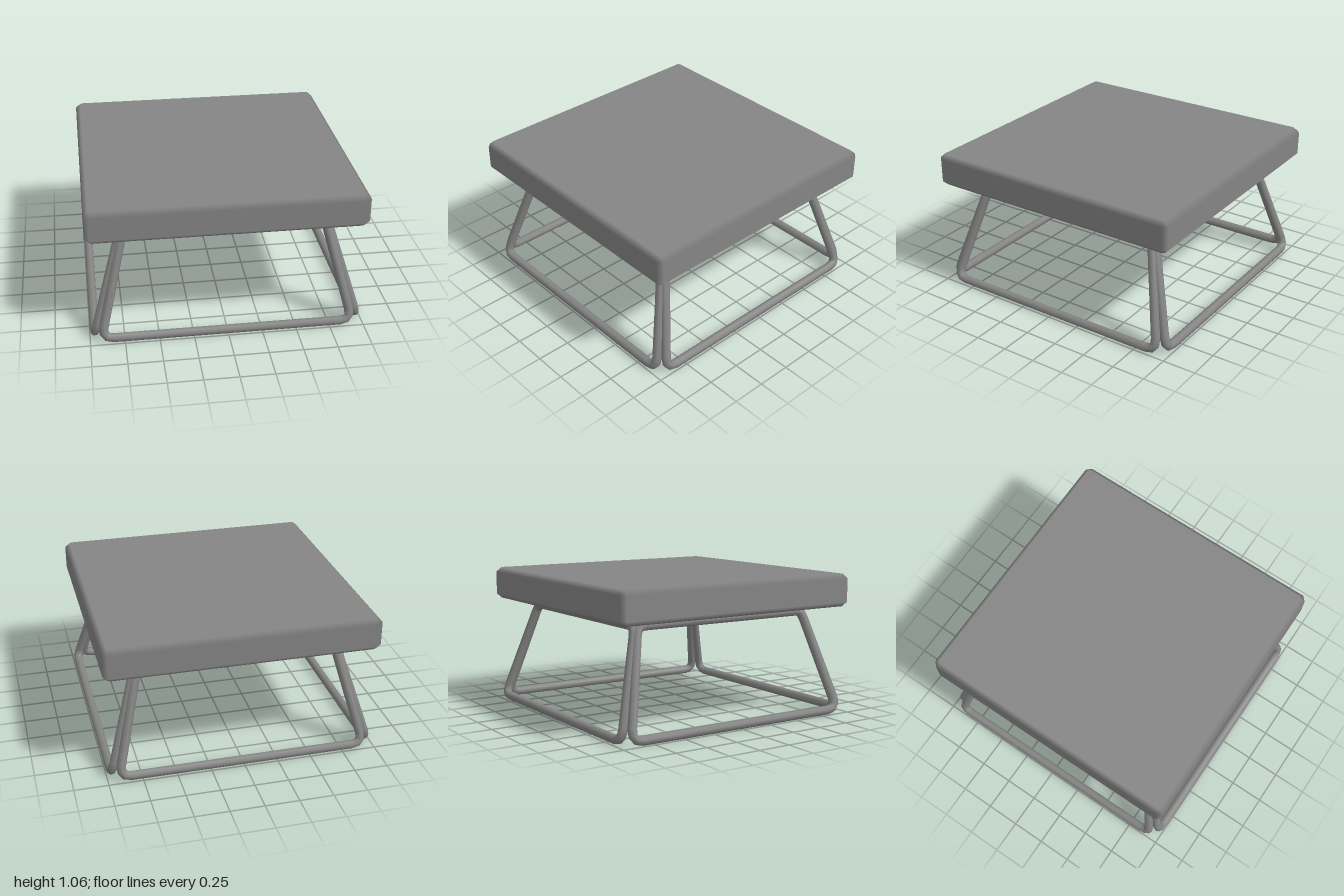
import * as THREE from 'three';

const material = new THREE.MeshStandardMaterial({ color: 0x858585 });

// Closed polyline that a tube can follow point by point
class ClosedPath extends THREE.Curve {
  constructor(points) {
    super();
    this.points = points;
  }
  at(i) {
    const n = this.points.length;
    return this.points[((i % n) + n) % n];
  }
  getPointAt(u, target = new THREE.Vector3()) {
    return target.copy(this.at(Math.round(u * this.points.length)));
  }
  getTangentAt(u, target = new THREE.Vector3()) {
    const i = Math.round(u * this.points.length);
    const before = this.at(i).clone().sub(this.at(i - 1)).normalize();
    const after = this.at(i + 1).clone().sub(this.at(i)).normalize();
    return target.copy(before.add(after).normalize());
  }
}

// Replace each corner by a short bend
function roundCorners(corners, cuts, steps) {
  const points = [];
  corners.forEach((c, i) => {
    const toward = (other) => c.clone().add(other.clone().sub(c).setLength(cuts[i]));
    const start = toward(corners[(i + 3) % 4]);
    const end = toward(corners[(i + 1) % 4]);
    points.push(...new THREE.QuadraticBezierCurve3(start, c, end).getPoints(steps));
  });
  return points;
}

// Square top with chamfered edges and corners
function makeTop() {
  const bevel = 0.035, half = 1 - bevel, cut = 0.0145, height = 0.245;
  const outline = [];
  for (let i = 0; i < 4; i++) {
    const turn = (x, y) => new THREE.Vector2(x, y).rotateAround(new THREE.Vector2(), i * Math.PI / 2);
    outline.push(turn(half, half - cut), turn(half - cut, half));
  }
  const geometry = new THREE.ExtrudeGeometry(new THREE.Shape(outline), {
    depth: height - 2 * bevel,
    bevelThickness: bevel, bevelSize: bevel, bevelSegments: 1,
  });
  geometry.rotateX(-Math.PI / 2);
  geometry.center();

  // Big faces shade flat, chamfers blend between them
  const { position, normal } = geometry.attributes;
  for (let i = 0; i < position.count; i++) {
    const x = position.getX(i), y = position.getY(i), z = position.getZ(i);
    if (Math.abs(y) > height / 2 - 0.01) normal.setXYZ(i, 0, Math.sign(y), 0);
    else if (Math.abs(x) > Math.abs(z)) normal.setXYZ(i, Math.sign(x), 0, 0);
    else normal.setXYZ(i, 0, 0, Math.sign(z));
  }
  geometry.translate(0, 0.82 + height / 2, 0);
  const top = new THREE.Mesh(geometry, material);
  top.name = 'top';
  return top;
}

export function createModel() {
  const group = new THREE.Group();
  group.name = 'lowTable';
  group.add(makeTop());

  // Leaning trapezoid of bent tube, one per side
  const radius = 0.034;
  const corners = [
    new THREE.Vector3(-0.918, radius, 0.966),
    new THREE.Vector3(0.918, radius, 0.966),
    new THREE.Vector3(0.73, 0.778, 0.745),
    new THREE.Vector3(-0.73, 0.778, 0.745),
  ];
  const path = new ClosedPath(roundCorners(corners, [0.09, 0.09, 0.06, 0.06], 3));
  const tube = new THREE.TubeGeometry(path, path.points.length, radius, 8, true);
  ['front', 'left', 'back', 'right'].forEach((side, i) => {
    const frame = new THREE.Mesh(tube, material);
    frame.name = side + 'LegFrame';
    frame.rotation.y = i * Math.PI / 2;
    group.add(frame);
  });
  return group;
}
